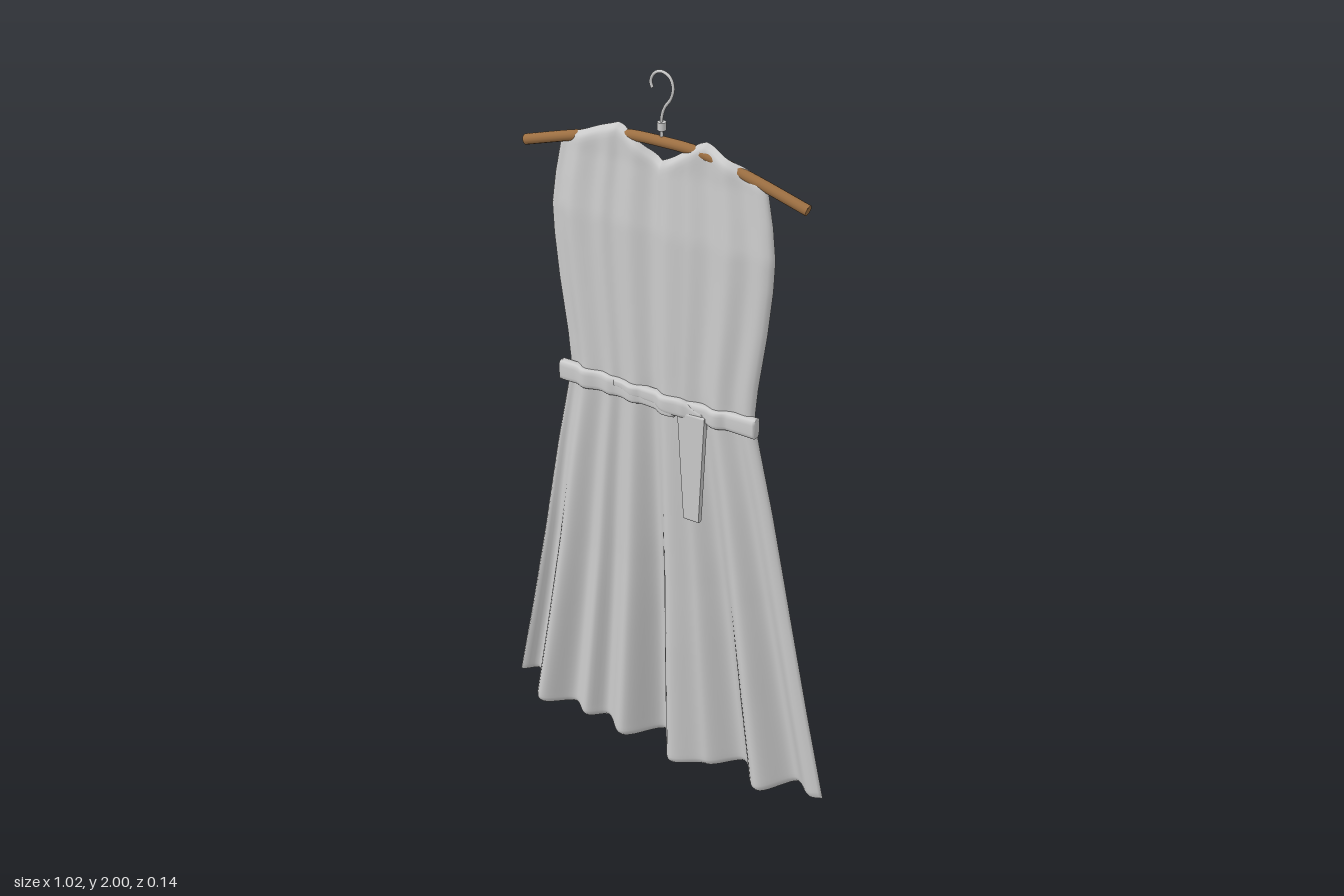
import * as THREE from 'three';
import { RoundedBoxGeometry } from 'three/addons/geometries/RoundedBoxGeometry.js';

const grey = new THREE.MeshStandardMaterial({ color: 0xcccccc, side: THREE.DoubleSide });
const wood = new THREE.MeshStandardMaterial({ color: 0x9c6f42 });
const BAR_Z = 0.014;

// Smoothly eased interpolation through [position, value] pairs
function ramp(pairs, t, ease = true) {
  if (t <= pairs[0][0]) return pairs[0][1];
  for (let i = 1; i < pairs.length; i++) {
    const [a, va] = pairs[i - 1], [b, vb] = pairs[i];
    if (t <= b) {
      let k = (t - a) / (b - a);
      if (ease) k = k * k * (3 - 2 * k);
      return va + (vb - va) * k;
    }
  }
  return pairs[pairs.length - 1][1];
}

// Dress rules: half width, fold depth, thickness by height; folds and edges by u = -1..1
const WIDTH = [[0, 0.515], [0.05, 0.508], [0.3, 0.453], [0.6, 0.39], [0.9, 0.33], [1.1, 0.285], [1.17, 0.274],
  [1.25, 0.281], [1.4, 0.302], [1.52, 0.314], [1.6, 0.317], [1.68, 0.307], [1.78, 0.287]];
const FOLDS = [[-1, -0.02], [-0.92, -0.06], [-0.76, 0.05], [-0.59, -0.012], [-0.49, 0.02], [-0.39, -0.02],
  [-0.24, 0.033], [-0.06, -0.06], [0.11, 0.055], [0.28, 0.015], [0.45, -0.05], [0.64, 0.05], [0.8, -0.035],
  [0.94, 0.018], [1, 0.012]];
const FOLD_SCALE = [[0, 1], [0.4, 0.75], [0.7, 0.48], [1.2, 0.16], [1.85, 0.13]];
const BASE = [[0, 0.001], [0.6, 0.008], [1.15, 0.02], [1.6, 0.02], [1.76, 0.015]];
const HALF_THICK = [[0, 0.01], [0.6, 0.013], [1.15, 0.02], [1.6, 0.022], [1.76, 0.016]];
const NECK = [[0, 1.776], [0.15, 1.8], [0.36, 1.842], [0.42, 1.848], [0.5, 1.84], [0.97, 1.786], [1, 1.776]];
const HEM = [[0, 0.003], [0.4, 0.01], [0.75, 0.027], [1, 0.05]];

const midZ = (u, y) => ramp(BASE, y, false) + ramp(FOLD_SCALE, y, false) * ramp(FOLDS, u);
const halfThick = (u, y) => ramp(HALF_THICK, y, false) * Math.sqrt(Math.max(0, 1 - Math.pow(Math.abs(u), 10)));
const frontZ = (x, y) => {
  const u = x / ramp(WIDTH, y, false);
  return midZ(u, y) + halfThick(u, y);
};

// Closed surface from rings of points
function loft(rings, capped = false) {
  const n = rings[0].length, pos = [], idx = [];
  rings.forEach(r => r.forEach(p => pos.push(...p)));
  for (let j = 0; j < rings.length - 1; j++)
    for (let i = 0; i < n; i++) {
      const a = j * n + i, b = j * n + (i + 1) % n;
      idx.push(a, b, b + n, a, b + n, a + n);
    }
  if (capped) {
    const last = (rings.length - 1) * n;
    for (let i = 1; i < n - 1; i++) idx.push(0, i + 1, i, last, last + i, last + i + 1);
  }
  const g = new THREE.BufferGeometry();
  g.setAttribute('position', new THREE.Float32BufferAttribute(pos, 3));
  g.setIndex(idx);
  g.computeVertexNormals();
  return g;
}

function add(parent, name, geometry, material = grey) {
  const m = new THREE.Mesh(geometry, material);
  m.name = name;
  parent.add(m);
  return m;
}

// Sleeveless dress: front and back skins joined at sides, hem and neckline
function dressGeometry() {
  const cols = 110, rows = 90, rings = [];
  for (let j = 0; j <= rows; j++) {
    const t = j / rows, v = t * t * (3 - 2 * t) * 0.5 + t * 0.5;
    const ring = [];
    for (let i = 0; i < cols * 2; i++) {
      const front = i < cols;
      const u = front ? -1 + 2 * i / cols : 1 - 2 * (i - cols) / cols;
      const hem = ramp(HEM, Math.abs(u), false), top = ramp(NECK, Math.abs(u), false);
      const y = hem + (top - hem) * v;
      const edge = Math.min(1, (y - hem) / 0.02, (top - y) / 0.03);
      const h = halfThick(u, y) * Math.sqrt(Math.max(0, 1 - (1 - edge) ** 2));
      ring.push([u * ramp(WIDTH, y, false), y, midZ(u, y) + (front ? h : -h)]);
    }
    rings.push(ring);
  }
  return loft(rings);
}

// Flat fabric strand across x: stations are [x, centre y, half height, lift in z]
function strand(stations, depth) {
  const rings = [], n = 14, steps = 40;
  const x0 = stations[0][0], x1 = stations[stations.length - 1][0];
  const at = (k, x) => ramp(stations.map(s => [s[0], s[k]]), x);
  for (let j = 0; j <= steps; j++) {
    const x = x0 + (x1 - x0) * j / steps, ring = [];
    const z = Math.max(0.038, frontZ(x, 1.145)) + at(3, x);
    for (let i = 0; i < n; i++) {
      const a = i / n * Math.PI * 2, c = Math.cos(a), s = Math.sin(a);
      ring.push([x, at(1, x) + Math.sign(c) * Math.sqrt(Math.abs(c)) * at(2, x),
        z + Math.sign(s) * Math.sqrt(Math.abs(s)) * depth]);
    }
    rings.push(ring);
  }
  return loft(rings, true);
}

export function createModel() {
  const model = new THREE.Group();
  model.name = 'dressOnHanger';
  add(model, 'dress', dressGeometry());

  // Tied belt lying on the front of the waist
  const belt = new THREE.Group();
  belt.name = 'belt';
  model.add(belt);
  add(belt, 'beltRight', strand([[-0.288, 1.145, 0.028, 0], [-0.15, 1.146, 0.027, 0], [-0.04, 1.14, 0.02, 0.002],
    [0.06, 1.128, 0.012, 0.002]], 0.014));
  add(belt, 'beltLeft', strand([[0.03, 1.145, 0.016, 0], [0.1, 1.143, 0.022, 0], [0.2, 1.145, 0.025, 0],
    [0.288, 1.146, 0.027, 0]], 0.014));
  add(belt, 'beltCrossing', strand([[-0.12, 1.158, 0.01, 0.002], [-0.02, 1.152, 0.017, 0.004],
    [0.07, 1.146, 0.024, 0.005], [0.14, 1.135, 0.014, 0.002]], 0.013));

  // Hanging belt end, wider at the knot
  const tail = new RoundedBoxGeometry(1, 0.32, 0.016, 4, 0.007);
  const p = tail.attributes.position;
  for (let i = 0; i < p.count; i++) {
    const t = p.getY(i) / 0.32 + 0.5;
    p.setX(i, 0.11 + p.getX(i) * (0.045 + 0.035 * t));
    p.setZ(i, p.getZ(i) + 0.043 + 0.005 * t);
  }
  p.needsUpdate = true;
  tail.translate(0, 0.98, 0);
  tail.computeVertexNormals();
  add(belt, 'beltTail', tail);

  // Wooden hanger bar with drooping arms
  const hanger = new THREE.Group();
  hanger.name = 'hanger';
  model.add(hanger);
  const barPts = [[-0.393, 1.743], [-0.25, 1.785], [-0.11, 1.819], [0, 1.824], [0.11, 1.819], [0.25, 1.785], [0.393, 1.743]]
    .map(([x, y]) => new THREE.Vector3(x, y, BAR_Z));
  const bar = new THREE.CatmullRomCurve3(barPts);
  add(hanger, 'hangerBar', new THREE.TubeGeometry(bar, 48, 0.0135, 14), wood);
  for (const s of [-1, 1]) {
    const end = add(hanger, s > 0 ? 'leftBarEnd' : 'rightBarEnd', new THREE.CircleGeometry(0.0135, 14), wood);
    end.position.copy(barPts[s > 0 ? 6 : 0]);
    const dir = bar.getTangent(s > 0 ? 1 : 0).multiplyScalar(s);
    end.quaternion.setFromUnitVectors(new THREE.Vector3(0, 0, 1), dir);
  }

  // Wire hook and its collar
  const collar = add(hanger, 'hookCollar', new THREE.CylinderGeometry(0.011, 0.011, 0.02, 12));
  collar.position.set(0, 1.863, BAR_Z);
  const hookPts = [[0, 1.835], [0, 1.885], [0.008, 1.91], [0.025, 1.935], [0.031, 1.962], [0.022, 1.986], [0, 1.996],
    [-0.02, 1.988], [-0.03, 1.968], [-0.026, 1.952]].map(([x, y]) => new THREE.Vector3(x, y, BAR_Z));
  add(hanger, 'hook', new THREE.TubeGeometry(new THREE.CatmullRomCurve3(hookPts), 60, 0.004, 8));
  return model;
}
